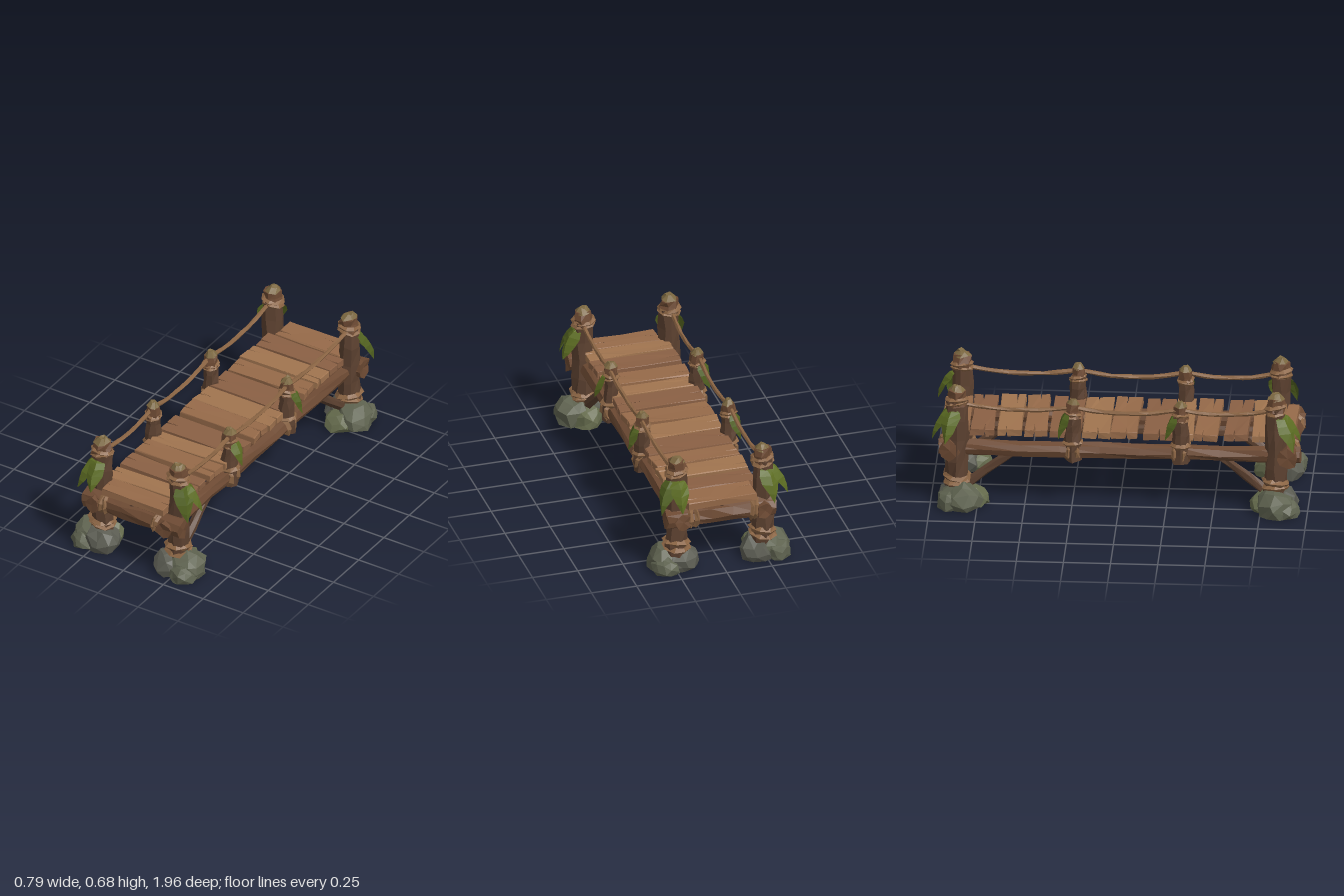
import * as THREE from 'three';

const V = (x, y, z) => new THREE.Vector3(x, y, z);
const mat = (color, side = THREE.FrontSide) =>
  new THREE.MeshStandardMaterial({ color, flatShading: true, roughness: 0.95, side });
const wood = mat(0x5c4130), woodLight = mat(0x6d4a33), cap = mat(0x7c6841), rope = mat(0x8a6443);
const planks = [0x966a49, 0x8a6044, 0xa0744f].map((c) => mat(c));
const rocks = [0x5f6350, 0x5b5c52, 0x646a4c].map((c) => mat(c));
const leaves = [0x5c6c22, 0x50601f].map((c) => mat(c, THREE.DoubleSide));

let seed = 7;
const rnd = () => {
  seed = (seed * 16807) % 2147483647;
  return seed / 2147483647 - 0.5;
};

// Moves every vertex a little; vertices at the same place move together.
function rough(geo, amount) {
  const p = geo.attributes.position, moved = new Map();
  for (let i = 0; i < p.count; i++) {
    const key = [p.getX(i), p.getY(i), p.getZ(i)].map((v) => Math.round(v * 5000)).join();
    if (!moved.has(key)) moved.set(key, [rnd(), rnd(), rnd()].map((v) => v * 2 * amount));
    const d = moved.get(key);
    p.setXYZ(i, p.getX(i) + d[0], p.getY(i) + d[1], p.getZ(i) + d[2]);
  }
  geo.computeVertexNormals();
  return geo;
}

function add(parent, name, geo, material, pos = V(0, 0, 0)) {
  const m = new THREE.Mesh(geo, material);
  m.name = name;
  m.position.copy(pos);
  parent.add(m);
  return m;
}

// Rough hewn log between two points
function log(parent, name, a, b, ra, rb, material = wood, sides = 8, rows = 4) {
  const dir = b.clone().sub(a);
  const geo = rough(new THREE.CylinderGeometry(rb, ra, dir.length(), sides, rows), ra * 0.14);
  const m = add(parent, name, geo, material, a.clone().add(b).multiplyScalar(0.5));
  m.quaternion.setFromUnitVectors(V(0, 1, 0), dir.normalize());
  return m;
}

// Stack of thick, tilted rope bands around an axis
function binding(parent, name, pos, axis, radius, thick, count, gap) {
  const g = new THREE.Group();
  g.name = name;
  for (let i = 0; i < count; i++) {
    const geo = rough(new THREE.TorusGeometry(radius, thick, 4, 8), thick * 0.25);
    const ring = add(g, 'ropeBand', geo, rope, V(0, 0, (i - (count - 1) / 2) * gap));
    ring.rotation.set(rnd() * 0.4, rnd() * 0.4, rnd());
  }
  g.position.copy(pos);
  g.quaternion.setFromUnitVectors(V(0, 0, 1), axis);
  parent.add(g);
}

// Broad drooping folded leaf, growing outwards along its own +z
function leaf(parent, pos, yaw, length, width, reach) {
  const geo = new THREE.PlaneGeometry(1, 1, 2, 5), p = geo.attributes.position;
  for (let i = 0; i < p.count; i++) {
    const t = 0.5 - p.getY(i), s = p.getX(i) * 2;
    const w = width * 0.5 * Math.sin(Math.PI * (0.06 + 0.94 * t));
    p.setXYZ(i, s * w, 0.012 * Math.sin(Math.PI * t) - length * t ** 1.3,
      0.035 + reach * Math.sin(t * 1.5) - Math.abs(s) * w * 0.6);
  }
  add(parent, 'leaf', rough(geo, 0.004), leaves[rnd() > 0 ? 0 : 1], pos).rotation.y = yaw;
}

// Post with a tapered, hewn head bound by rope
function post(parent, name, x, z, bottom, top, r) {
  const g = new THREE.Group();
  g.name = name;
  log(g, 'postTrunk', V(x, bottom, z), V(x, top - 0.08, z), r * 1.12, r * 0.92, wood, 8, 5);
  log(g, 'postHead', V(x, top - 0.1, z), V(x, top - 0.025, z), r * 1.0, r * 0.78, woodLight, 7, 2);
  log(g, 'postTip', V(x, top - 0.028, z), V(x, top, z), r * 0.82, r * 0.35, cap, 7, 1);
  binding(g, 'topBinding', V(x, top - 0.088, z), V(0, 1, 0), r * 0.9, r * 0.25, 2, r * 0.42);
  parent.add(g);
}

// Angular boulders around a post foot, flat on the ground
function rockPile(parent, sx, sz) {
  const g = new THREE.Group();
  g.name = 'rockPile';
  const pile = [[0.035, 0, 0.108, 0.135], [-0.04, 0.025, 0.098, 0.125], [-0.02, -0.06, 0.088, 0.1],
    [0.05, 0.06, 0.075, 0.09]];
  pile.forEach(([dx, dz, r, h], i) => {
    const geo = new THREE.IcosahedronGeometry(1, 1);
    geo.rotateY(i * 1.3).scale(r, h * 0.72, r);
    rough(geo, r * 0.13).translate(0, h * 0.3, 0);
    const p = geo.attributes.position;
    for (let k = 0; k < p.count; k++) if (p.getY(k) < 0.012) p.setY(k, 0);
    geo.computeVertexNormals();
    add(g, 'rock', geo, rocks[i % 3], V(sx * (0.255 + dx), 0, sz * (0.832 + dz)));
  });
  parent.add(g);
}

// Plank with split, uneven ends
function plank(parent, z0, z1, xa, xb, i) {
  const d = z1 - z0, s = new THREE.Shape(), n = 0.3 + 0.4 * (rnd() + 0.5);
  const slit = (end, into, f) => [[end, f - 0.05], [into, f], [end, f + 0.06]];
  const right = slit(xb, xb - 0.1 - rnd() * 0.08, n), left = slit(xa, xa + 0.07, 1 - n).reverse();
  const pts = [[xa, 0], [0, 0.03 + rnd() * 0.06], [xb + rnd() * 0.02, 0], ...right,
    [xb + rnd() * 0.02, 1], [0, 0.97 + rnd() * 0.06], [xa + rnd() * 0.02, 1], ...left];
  s.setFromPoints(pts.map(([x, f]) => new THREE.Vector2(x, f * d)));
  const geo = new THREE.ExtrudeGeometry(s, { depth: 0.034, bevelEnabled: true,
    bevelSize: 0.003, bevelThickness: 0.003, bevelSegments: 1 });
  geo.rotateX(Math.PI / 2);
  const m = add(parent, 'plank', rough(geo, 0.0025), planks[i % 3], V(0, 0.414 + rnd() * 0.006, z0));
  m.rotation.set(0, rnd() * 0.04, rnd() * 0.02);
}

export function createModel() {
  const model = new THREE.Group();
  model.name = 'ropeBridge';
  const Y = V(0, 1, 0), X = V(1, 0, 0), Z = V(0, 0, 1);
  const px = 0.238, beamX = 0.224, cornerZ = [0.83, -0.86], midZ = [0.325, -0.245];

  // Deck
  const deck = new THREE.Group();
  deck.name = 'deck';
  model.add(deck);
  [[-0.94, -0.8], [-0.79, -0.67], [-0.645, -0.52], [-0.505, -0.39], [-0.365, -0.21], [-0.195, -0.055],
    [-0.04, 0.095], [0.13, 0.275], [0.29, 0.385], [0.4, 0.52], [0.56, 0.68], [0.7, 0.8], [0.81, 0.925]]
    .forEach(([a, b], i, all) => {
      const end = i === 0 || i === all.length - 1;
      plank(deck, a, b, end ? -0.18 : -0.222, end ? 0.2 : 0.24, i);
    });
  log(deck, 'centreStringer', V(0, 0.34, 0.92), V(0, 0.34, -0.92), 0.028, 0.028, wood, 6, 6);

  // Cross beams
  for (const s of [1, -1]) {
    const z = s * 0.895;
    log(model, 'endCrossBeam', V(-0.295, 0.315, z), V(0.31, 0.318, z), 0.056, 0.056, woodLight, 8, 5);
    for (const x of [-0.17, 0.165])
      binding(model, 'beamBinding', V(x, 0.318, z), X, 0.055, 0.015, 2, 0.022);
  }
  for (const z of midZ) log(model, 'middleCrossBeam', V(-0.25, 0.315, z), V(0.25, 0.315, z), 0.03, 0.03);

  for (const sx of [-1, 1]) {
    const x = sx * px;
    log(model, 'sideBeam', V(sx * beamX, 0.313, 0.96), V(sx * beamX, 0.313, -0.955), 0.044, 0.044, woodLight, 8, 9);

    for (const z of cornerZ) {
      const sz = Math.sign(z);
      post(model, 'cornerPost', x, z, 0.03, 0.67, 0.057);
      binding(model, 'footBinding', V(x, 0.148, z), Y, 0.06, 0.018, 2, 0.028);
      rockPile(model, sx, sz);
      log(model, 'brace', V(sx * 0.23, 0.12, z - sz * 0.07), V(sx * 0.23, 0.31, z - sz * 0.31), 0.027, 0.024, wood, 6, 3);
    }
    for (const z of midZ) {
      post(model, 'middlePost', x, z, 0.265, 0.61, 0.043);
      binding(model, 'beamBinding', V(sx * 0.23, 0.313, z), Z, 0.046, 0.016, 2, 0.05);
      binding(model, 'postBinding', V(x, 0.365, z), Y, 0.044, 0.014, 1, 0);
    }

    // Sagging hand ropes
    const stops = [[cornerZ[0], 0.58], [midZ[0], 0.565], [midZ[1], 0.565], [cornerZ[1], 0.58]];
    for (let i = 0; i < 3; i++) {
      const [[za, ya], [zb, yb]] = [stops[i], stops[i + 1]];
      const mid = (f) => V(sx * 0.242, ya + (yb - ya) * f - 0.026, za + (zb - za) * f);
      const curve = new THREE.CatmullRomCurve3([V(sx * 0.246, ya, za), mid(0.3), mid(0.7), V(sx * 0.246, yb, zb)]);
      add(model, 'handRope', rough(new THREE.TubeGeometry(curve, 10, 0.012, 6), 0.002), rope);
    }
  }

  // Leaves: post x side, post z, then the yaw of each blade
  const foliage = new THREE.Group();
  foliage.name = 'foliage';
  model.add(foliage);
  [[-1, cornerZ[0], [-0.75, 0.05]], [1, cornerZ[0], [0.95, 1.9]],
    [-1, cornerZ[1], [-2.9, -2.0]], [1, cornerZ[1], [2.2, 3.1]]].forEach(([s, z, yaws]) =>
    yaws.forEach((a, i) => leaf(foliage, V(s * px, 0.552, z), a, 0.18 - 0.015 * i, 0.105, 0.1)));
  [[-1, midZ[0], -2.6], [1, midZ[0], 1.5], [-1, midZ[1], -2.6], [1, midZ[1], 1.8]]
    .forEach(([s, z, a]) => leaf(foliage, V(s * px, 0.535, z), a, 0.135, 0.08, 0.055));
  return model;
}
